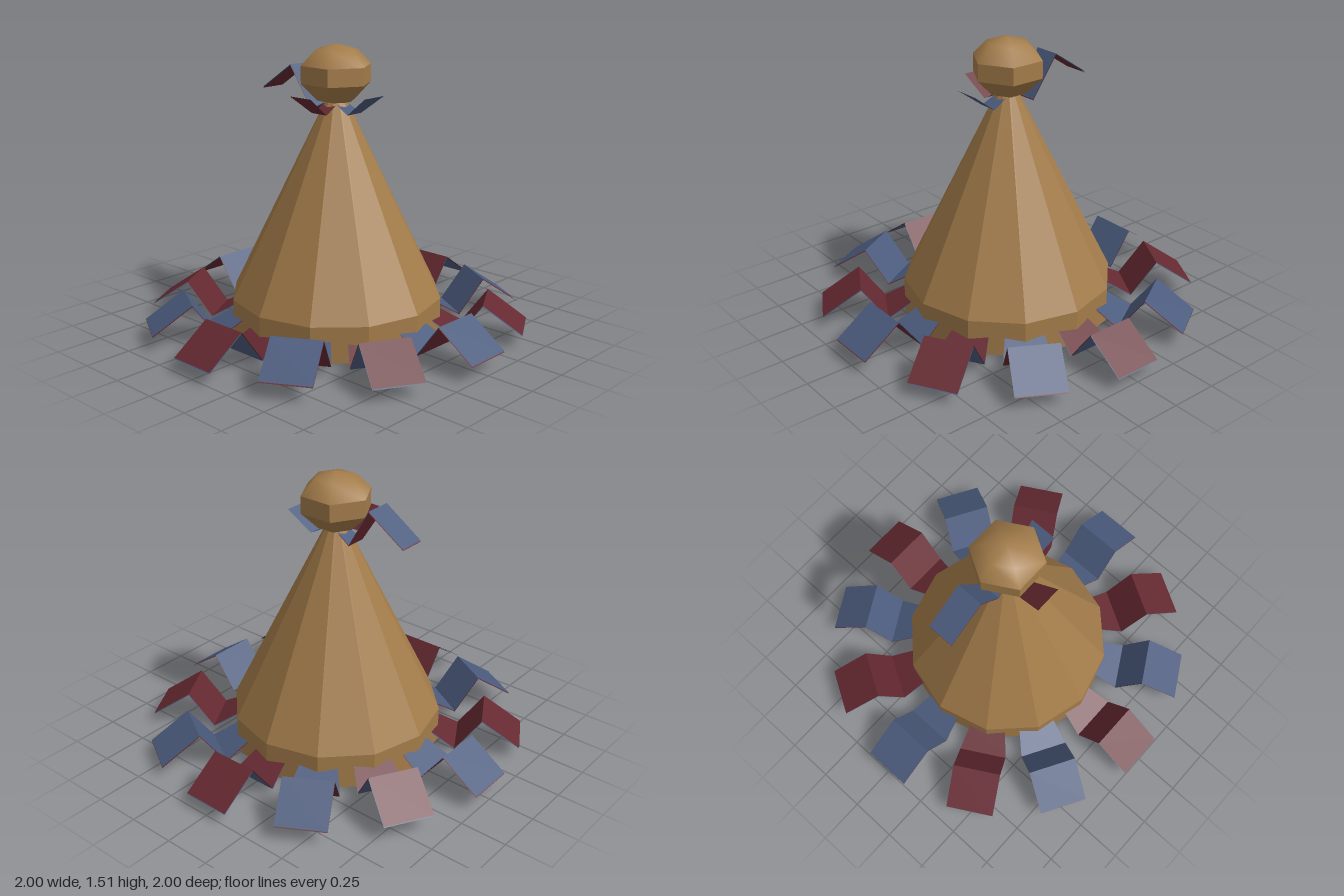
import * as THREE from 'three';
import { toCreasedNormals } from 'three/addons/utils/BufferGeometryUtils.js';

const mat = (name, color, side = THREE.FrontSide) => {
  const m = new THREE.MeshStandardMaterial({ color, side });
  m.name = name;
  return m;
};

// Folded strip running out along +z; profile rows are [radius, height, halfWidth]
function stripGeometry(profile, flipped) {
  const pos = [], idx = [];
  profile.forEach(([r, y, w]) => pos.push(-w, y, r, w, y, r));
  for (let i = 0; i < profile.length - 1; i++) {
    const a = 2 * i, b = a + 1, c = a + 2, d = a + 3;
    if (flipped) idx.push(a, b, d, a, d, c);
    else idx.push(a, d, b, a, c, d);
  }
  const indexed = new THREE.BufferGeometry();
  indexed.setAttribute('position', new THREE.Float32BufferAttribute(pos, 3));
  indexed.setIndex(idx);
  const g = indexed.toNonIndexed();
  g.computeVertexNormals();
  return g;
}

// Thin strip with one colour above and another just below it
function makeStrip(name, profile, angle, topMat, underMat) {
  const strip = new THREE.Group();
  strip.name = name;
  const top = new THREE.Mesh(stripGeometry(profile, false), topMat);
  const under = new THREE.Mesh(stripGeometry(profile, true), underMat);
  top.name = name + 'Top';
  under.name = name + 'Underside';
  top.position.y = 0.003;
  under.position.y = -0.003;
  strip.add(top, under);
  strip.rotation.y = angle;
  return strip;
}

export function createModel() {
  const model = new THREE.Group();
  model.name = 'ribbonedCone';
  const brown = mat('brown', 0xa37c4a);
  const red = mat('darkRed', 0x652931, THREE.DoubleSide);
  const blue = mat('slateBlue', 0x4b5b7d, THREE.DoubleSide);

  const add = (name, geometry, y, crease) => {
    const mesh = new THREE.Mesh(toCreasedNormals(geometry, crease), brown);
    mesh.name = name;
    mesh.position.y = y;
    model.add(mesh);
  };

  // Twelve-sided body: short drum below a tall cone
  add('baseDrum', new THREE.CylinderGeometry(0.56, 0.56, 0.19, 12), 0.095, 0.3);
  add('cone', new THREE.CylinderGeometry(0.02, 0.56, 1.1, 12, 1, true), 0.74, 0.3);

  // Six-sided knob: faceted below, softly rounded on top
  const hexLathe = (points) => new THREE.LatheGeometry(
    points.map(([r, y]) => new THREE.Vector2(r, y)), 6, Math.PI / 6);
  add('knobBody', hexLathe([[0, 1.195], [0.1, 1.22], [0.187, 1.308], [0.187, 1.4]]), 0, 0.3);
  add('knobCap', hexLathe([[0.187, 1.4], [0.112, 1.478], [0, 1.508]]), 0, 0.8);

  // Ring of folded ribbons, alternating colours, some sitting a little higher
  for (let i = 0; i < 12; i++) {
    const odd = i % 2 === 1;
    const dy = i === 8 ? 0.025 : odd && i !== 5 ? 0.015 : 0;
    const profile = [
      [0.53, 0.1 + dy, 0.1],
      [0.66, 0.028 + dy, 0.13],
      [0.795, 0.212 + dy, 0.13],
      [1, 0.07 + dy, 0.13],
    ];
    model.add(makeStrip('ribbon' + (i + 1), profile, (i * Math.PI) / 6,
      odd ? blue : red, odd ? red : blue));
  }

  // Folded ribbon at the neck
  const neckProfile = [
    [0.03, 1.21, 0.04],
    [0.125, 1.16, 0.055],
    [0.26, 1.38, 0.072],
    [0.47, 1.24, 0.072],
  ];
  model.add(makeStrip('neckRibbon', neckProfile, -Math.PI / 2, blue, red));

  // Two short single-colour tabs that dip at the neck, then flare up
  const tab = stripGeometry([[0.03, 1.21, 0.04], [0.125, 1.16, 0.052], [0.26, 1.26, 0.072]], false);
  [['frontTab', red, 0], ['sideTab', blue, Math.PI / 2]].forEach(([name, material, angle]) => {
    const mesh = new THREE.Mesh(tab, material);
    mesh.name = name;
    mesh.rotation.y = angle;
    model.add(mesh);
  });

  return model;
}
